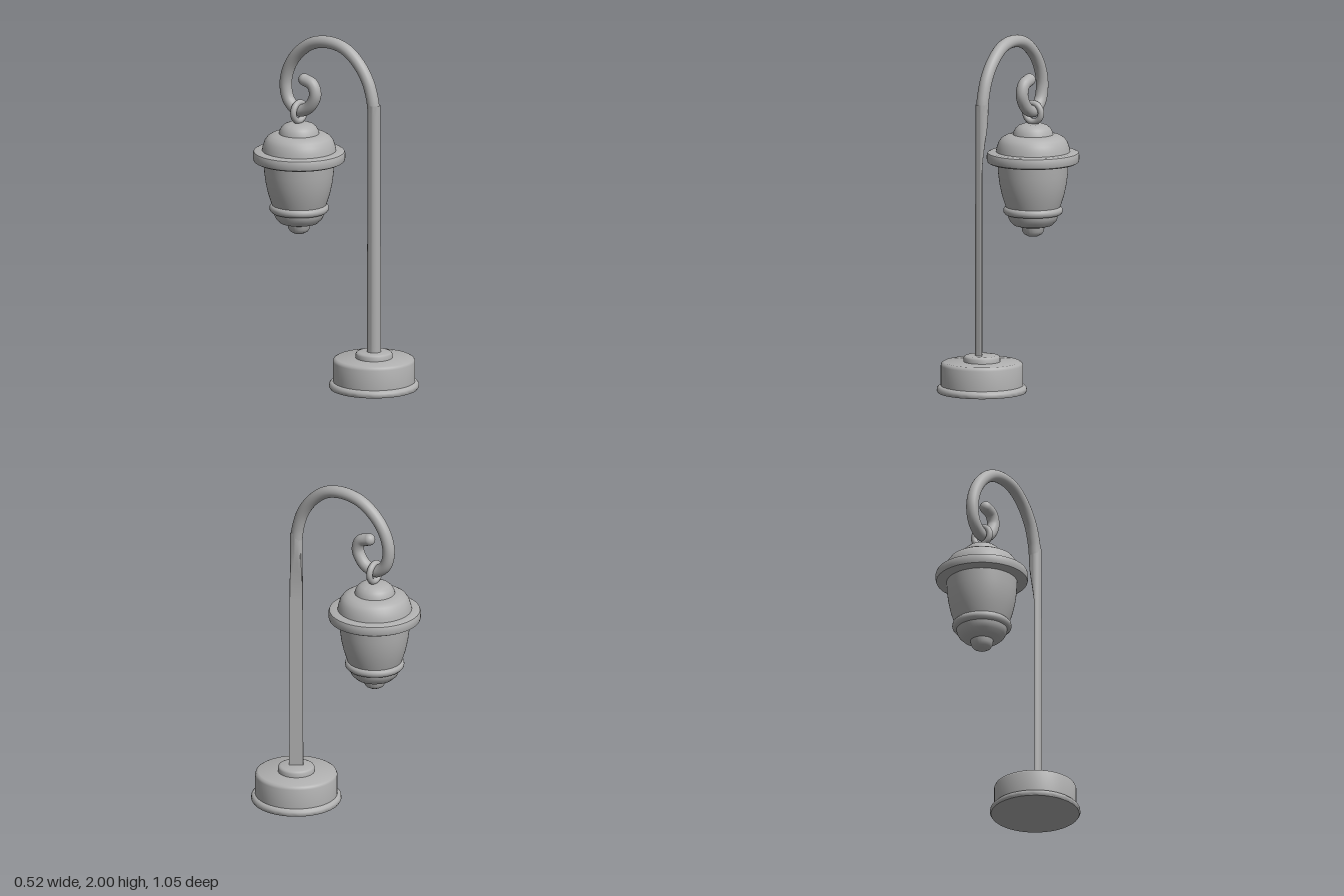
import * as THREE from 'three';
import { toCreasedNormals } from 'three/addons/utils/BufferGeometryUtils.js';

const BASE_Z = 0.27;
const LANTERN_Z = -0.263;

export function createModel() {
  const group = new THREE.Group();
  const grey = new THREE.MeshStandardMaterial({ color: 0xb0b0b0 });
  grey.name = 'grey metal';

  const add = (name, geometry, x = 0, y = 0, z = 0) => {
    const mesh = new THREE.Mesh(geometry, grey);
    mesh.name = name;
    mesh.position.set(x, y, z);
    group.add(mesh);
    return mesh;
  };

  // Turned part from [radius, height] pairs, listed bottom to top
  const turned = (name, profile, z) => {
    const points = profile.map(([r, y]) => new THREE.Vector2(r, y));
    add(name, toCreasedNormals(new THREE.LatheGeometry(points, 56), 0.75), 0, 0, z);
  };

  // Base: flared foot, drum and collar
  turned('baseFoot', [[0, 0], [0.25, 0], [0.256, 0.01], [0.254, 0.026], [0.245, 0.036],
    [0.234, 0.04], [0, 0.04]], BASE_Z);
  turned('baseDrum', [[0.233, 0.035], [0.233, 0.155], [0.228, 0.168], [0.215, 0.175], [0, 0.177]], BASE_Z);
  turned('baseCollar', [[0.104, 0.17], [0.104, 0.198], [0.099, 0.207], [0.088, 0.211], [0, 0.212]], BASE_Z);

  // Pole: round at the top, flattened on one diagonal side towards the bottom
  const pole = new THREE.CylinderGeometry(0.036, 0.04, 1.45, 32, 24, true);
  pole.translate(0, 0.925, 0);
  const nx = 0.85, nz = -0.527;
  const p = pole.attributes.position;
  for (let i = 0; i < p.count; i++) {
    const limit = THREE.MathUtils.lerp(0.002, 0.04, THREE.MathUtils.smoothstep(p.getY(i), 1.25, 1.64));
    const over = p.getX(i) * nx + p.getZ(i) * nz - limit;
    if (over > 0) {
      p.setX(i, p.getX(i) - nx * over);
      p.setZ(i, p.getZ(i) - nz * over);
    }
  }
  add('pole', toCreasedNormals(pole, 0.7), 0, 0, BASE_Z);

  // Crook: arch ending in a curl, as [z, y] points
  const path = [[0.27, 1.6], [0.258, 1.68], [0.225, 1.78], [0.16, 1.873], [0.065, 1.944], [-0.045, 1.966],
    [-0.165, 1.944], [-0.27, 1.87], [-0.335, 1.775], [-0.358, 1.675], [-0.335, 1.585], [-0.268, 1.537],
    [-0.195, 1.563], [-0.149, 1.64], [-0.167, 1.7], [-0.225, 1.722]]
    .map(([z, y]) => new THREE.Vector3(0, y, z));
  const curve = new THREE.CatmullRomCurve3(path, false, 'centripetal');
  add('crook', new THREE.TubeGeometry(curve, 150, 0.035, 20));
  const tip = add('crookTip', new THREE.SphereGeometry(0.035, 20, 14));
  tip.position.copy(path[path.length - 1]);

  // Ring hooked over the curl
  add('hangingRing', new THREE.TorusGeometry(0.053, 0.018, 14, 40), 0, 1.528, LANTERN_Z);

  // Lantern, from the finial up to the cap
  turned('lanternFinial', [[0, 0.818], [0.03, 0.821], [0.05, 0.832], [0.062, 0.85], [0.066, 0.885]], LANTERN_Z);
  turned('lanternBowl', [[0, 0.874], [0.075, 0.875], [0.108, 0.884], [0.13, 0.905], [0.142, 0.93],
    [0.146, 0.96]], LANTERN_Z);
  turned('lanternBand', [[0.14, 0.944], [0.157, 0.946], [0.166, 0.956], [0.168, 0.967], [0.166, 0.979],
    [0.157, 0.989], [0.14, 0.991]], LANTERN_Z);
  turned('lanternBody', [[0.148, 0.97], [0.16, 1.005], [0.176, 1.055], [0.189, 1.115], [0.197, 1.175],
    [0.201, 1.25]], LANTERN_Z);
  turned('lanternRim', [[0.19, 1.238], [0.245, 1.239], [0.258, 1.246], [0.262, 1.26], [0.262, 1.285],
    [0.257, 1.299], [0.244, 1.305], [0.19, 1.306]], LANTERN_Z);
  turned('lanternRoof', [[0.212, 1.295], [0.207, 1.325], [0.196, 1.358], [0.18, 1.381], [0.155, 1.396],
    [0.125, 1.403], [0, 1.406]], LANTERN_Z);
  turned('lanternCap', [[0.116, 1.395], [0.111, 1.417], [0.1, 1.438], [0.082, 1.454], [0.055, 1.464],
    [0, 1.466]], LANTERN_Z);

  return group;
}
